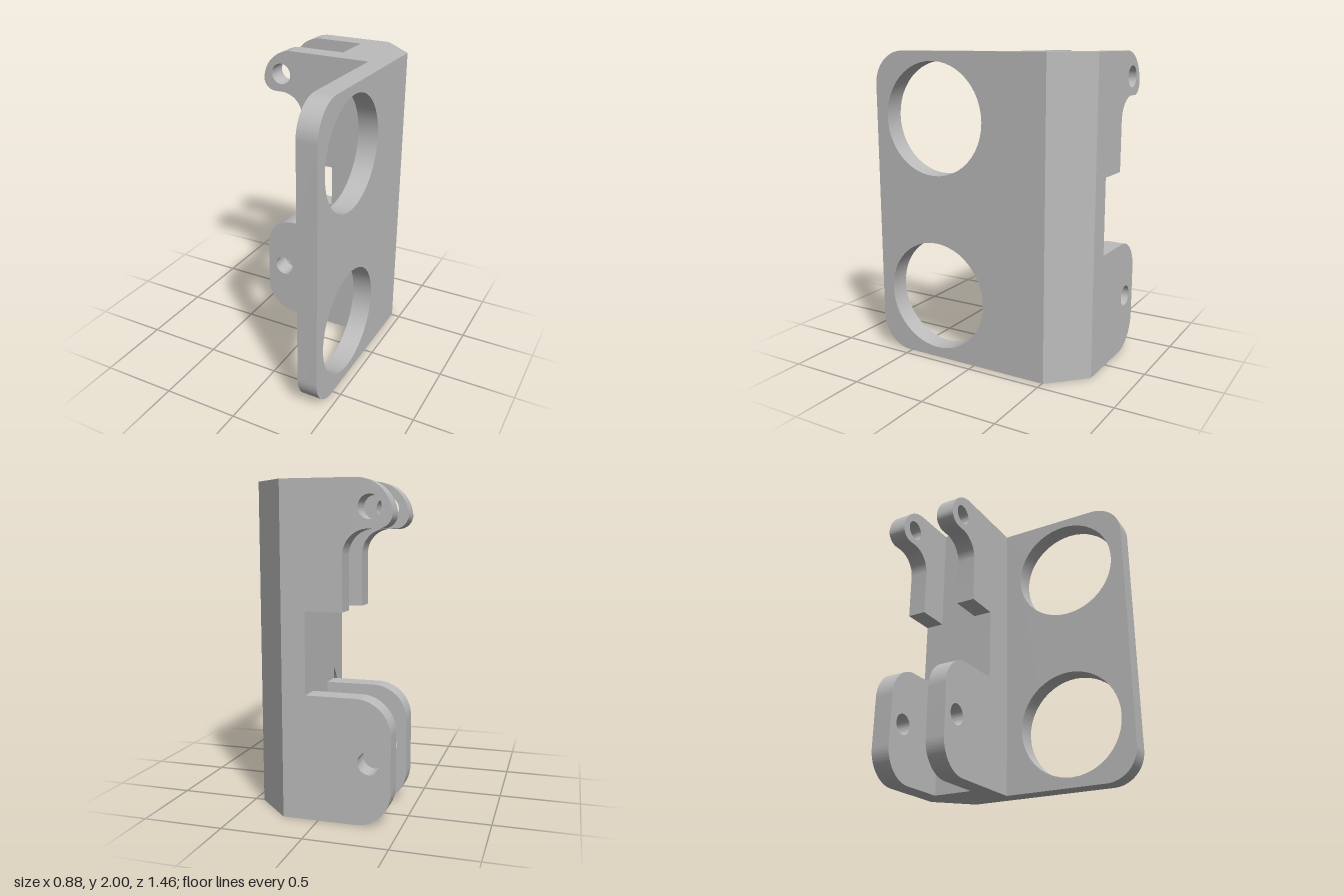
import * as THREE from 'three';
import { toCreasedNormals } from 'three/addons/utils/BufferGeometryUtils.js';

const PI = Math.PI;

export function createModel() {
  const group = new THREE.Group();
  const metal = new THREE.MeshStandardMaterial({ color: 0xbcbcbc });
  metal.name = 'grey metal';

  const extrude = (shape, depth) => toCreasedNormals(
    new THREE.ExtrudeGeometry(shape, { depth, bevelEnabled: false, curveSegments: 24 }), 0.5);
  const add = (name, geometry) => {
    const mesh = new THREE.Mesh(geometry, metal);
    mesh.name = name;
    group.add(mesh);
  };
  const drill = (shape, x, y, r) =>
    shape.holes.push(new THREE.Path().absarc(x, y, r, 0, 2 * PI, true));

  // Chamfered corner post, full height: plan outline (x, z)
  const plan = new THREE.Shape([
    [0.073, -0.728], [0.22, -0.728], [0.442, -0.506], [0.442, -0.19], [0.073, -0.19],
  ].map(([x, z]) => new THREE.Vector2(x, z)));
  add('cornerPost', extrude(plan, 2).rotateX(PI / 2).translate(0, 2, 0));

  // Side plate with rounded front corners and two large holes: outline (-z, y)
  const plate = new THREE.Shape();
  plate.moveTo(0.19, 0);
  plate.lineTo(0.19, 2);
  plate.lineTo(-0.513, 2);
  plate.absarc(-0.513, 1.785, 0.215, PI / 2, PI, false);
  plate.lineTo(-0.728, 0.215);
  plate.absarc(-0.513, 0.215, 0.215, PI, 1.5 * PI, false);
  plate.closePath();
  for (const y of [0.425, 1.582]) drill(plate, -0.285, y, 0.358);
  add('sidePlate', extrude(plate, 0.132).rotateY(PI / 2).translate(0.31, 0, 0));

  // Upper lug: hooked outline with a pin hole
  const upper = new THREE.Shape();
  upper.moveTo(0.073, 1.25);
  upper.lineTo(0.073, 2);
  upper.lineTo(-0.23, 2);
  upper.absarc(-0.23, 1.787, 0.213, PI / 2, PI, false);
  upper.absarc(-0.36, 1.803, 0.083, PI, 1.5 * PI, false);
  upper.lineTo(-0.305, 1.72);
  upper.absarc(-0.305, 1.57, 0.15, PI / 2, 0, true);
  upper.lineTo(-0.155, 1.25);
  upper.closePath();
  drill(upper, -0.313, 1.84, 0.069);

  // Lower lug: rounded outline with a pin hole
  const lower = new THREE.Shape();
  lower.moveTo(0.073, 0);
  lower.lineTo(0.073, 0.757);
  lower.lineTo(-0.23, 0.757);
  lower.absarc(-0.23, 0.544, 0.213, PI / 2, PI, false);
  lower.lineTo(-0.443, 0.213);
  lower.absarc(-0.23, 0.213, 0.213, PI, 1.5 * PI, false);
  lower.closePath();
  drill(lower, -0.313, 0.38, 0.069);

  // Each lug appears on both the back and the front leaf
  for (const [side, z] of [['back', -0.728], ['front', -0.321]]) {
    add(side + 'UpperLug', extrude(upper, 0.131).translate(0, 0, z));
    add(side + 'LowerLug', extrude(lower, 0.131).translate(0, 0, z));
  }
  return group;
}
